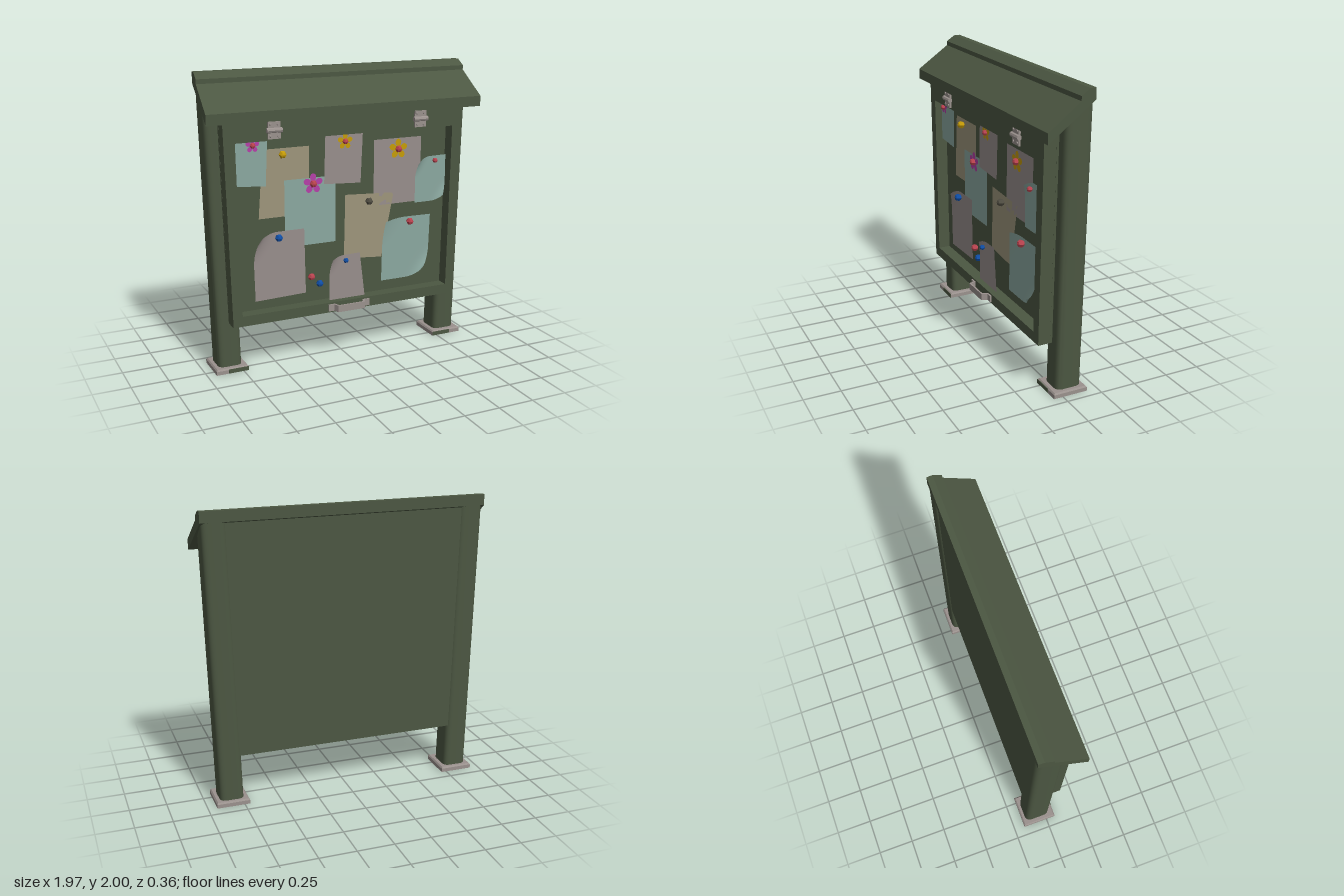
import * as THREE from 'three';
import { toCreasedNormals } from 'three/addons/utils/BufferGeometryUtils.js';

const mat = (name, color, side = THREE.FrontSide) => {
  const m = new THREE.MeshStandardMaterial({ color, side });
  m.name = name;
  return m;
};

// Height of the roof's sloping underside, and half width of the case at a height
const under = z => 1.70 + 0.71 * (0.17 - z);
const caseHalf = y => 0.835 + 0.025 * (y - 0.345);

// Move every vertex by a rule, then refresh normals
function warp(geo, rule, crease = 0) {
  const p = geo.attributes.position, v = new THREE.Vector3();
  for (let i = 0; i < p.count; i++) {
    v.fromBufferAttribute(p, i);
    rule(v);
    p.setXYZ(i, v.x, v.y, v.z);
  }
  geo.computeVertexNormals();
  return crease ? toCreasedNormals(geo, crease) : geo;
}

const polygon = pts => new THREE.Shape(pts.map(([x, y]) => new THREE.Vector2(x, y)));
const extrude = (shape, depth, curveSegments = 6) =>
  new THREE.ExtrudeGeometry(shape, { depth, bevelEnabled: false, curveSegments });

export function createModel() {
  const root = new THREE.Group();
  root.name = 'noticeBoard';
  const green = mat('darkGreen', 0x4c5742);
  const metal = mat('metal', 0x9a918d);
  const mint = mat('mintPaper', 0x8ba8a0, THREE.DoubleSide);
  const tan = mat('tanPaper', 0x9d957b, THREE.DoubleSide);
  const grey = mat('greyPaper', 0x988e8c, THREE.DoubleSide);
  const blue = mat('blue', 0x0f4ea6);
  const red = mat('red', 0xb9434f);
  const dark = mat('darkPin', 0x504d42);
  const magenta = mat('magenta', 0xb540a8, THREE.DoubleSide);
  const yellow = mat('yellow', 0xc69c08, THREE.DoubleSide);

  const add = (name, geo, material, x = 0, y = 0, z = 0, parent = root) => {
    const m = new THREE.Mesh(geo, material);
    m.name = name;
    m.position.set(x, y, z);
    parent.add(m);
    return m;
  };
  const box = (w, h, d) => new THREE.BoxGeometry(w, h, d);

  // Roof with raised ridge, slightly wider at the eave
  const profile = [[0.17, 1.70], [0.17, 1.77], [-0.05, 1.93], [-0.05, 1.96],
    [-0.11, 2.0], [-0.15, 2.0], [-0.15, 1.927]];
  const roof = extrude(polygon(profile.map(([z, y]) => [-z, y])), 2);
  roof.rotateY(Math.PI / 2);
  add('roof', warp(roof, v => { v.x = (v.x - 1) * (0.968 + 0.055 * (v.z + 0.15)); }), green);

  // Case: solid back and hollow front frame, tops cut to the roof slope
  const back = warp(box(2, 1, 0.185).translate(0, 0, -0.0475), v => {
    v.y = v.y > 0 ? under(v.z) : 0.345;
    v.x *= caseHalf(v.y);
  });
  add('backPanel', back, green);
  const frameShape = polygon([[-0.835, 0.345], [0.835, 0.345], [0.87, 1.73], [-0.87, 1.73]]);
  frameShape.holes.push(new THREE.Path(
    [[-0.77, 0.415], [-0.79, 1.57], [0.79, 1.57], [0.77, 0.415]].map(p => new THREE.Vector2(...p))));
  const frame = warp(extrude(frameShape, 0.085).translate(0, 0, 0.045), v => {
    if (v.y > 1.7) v.y = under(v.z);
  });
  add('frontFrame', frame, green);

  // Leaning rounded posts on bevelled foot plates
  const w = 0.082, z0 = -0.03, z1 = 0.15, r = 0.045;
  const section = new THREE.Shape();
  section.moveTo(-w + r, z0).lineTo(w - r, z0).quadraticCurveTo(w, z0, w, z0 + r)
    .lineTo(w, z1 - r).quadraticCurveTo(w, z1, w - r, z1)
    .lineTo(-w + r, z1).quadraticCurveTo(-w, z1, -w, z1 - r)
    .lineTo(-w, z0 + r).quadraticCurveTo(-w, z0, -w + r, z0);
  for (const s of [-1, 1]) {
    const side = s > 0 ? 'left' : 'right';
    const post = warp(extrude(section, 1).rotateX(-Math.PI / 2), v => {
      v.y = v.y > 0.5 ? under(v.z) + 0.01 : 0.02;
      v.x += s * (0.827 + 0.026 * v.y);
    }, 0.7);
    add(side + 'Post', post, green);
    add(side + 'FootBase', box(0.226, 0.026, 0.24), metal, s * 0.827, 0.013, -0.055);
    const bevel = warp(box(0.226, 0.01, 0.24).toNonIndexed(), v => {
      if (v.y > 0) { v.x *= 0.93; v.z *= 0.93; }
    });
    add(side + 'FootBevel', bevel, metal, s * 0.827, 0.031, -0.055);
    add(side + 'FootPaint', box(0.14, 0.028, 0.004), green, s * 0.785, 0.015, 0.065);
  }

  // Hinges with leaves, barrel and screws
  for (const s of [-1, 1]) {
    const hinge = new THREE.Group();
    hinge.name = s > 0 ? 'leftHinge' : 'rightHinge';
    hinge.position.set(s * 0.53, 1.638, 0.13);
    root.add(hinge);
    const barrel = new THREE.CylinderGeometry(0.017, 0.017, 0.105, 8).rotateZ(Math.PI / 2);
    add('barrel', toCreasedNormals(barrel, 0.3), metal, 0, 0, 0.013, hinge);
    for (const t of [-1, 1]) {
      add('leaf', box(0.086, 0.046, 0.014), metal, 0, t * 0.033, 0.007, hinge);
      for (const u of [-1, 1]) {
        const screw = new THREE.CylinderGeometry(0.007, 0.009, 0.006, 8).rotateX(Math.PI / 2);
        add('screw', screw, metal, u * 0.025, t * 0.038, 0.017, hinge);
      }
    }
  }

  // Bent pull handle
  const pull = extrude(polygon([[-0.155, 0], [-0.155, -0.012], [-0.115, -0.012], [-0.1, -0.052],
    [0.1, -0.052], [0.115, -0.012], [0.155, -0.012], [0.155, 0], [0.105, 0], [0.09, -0.04],
    [-0.09, -0.04], [-0.105, 0]]), 0.047).rotateX(-Math.PI / 2);
  add('handle', pull, metal, 0, 0.356, 0.129);

  // Paper sheets: corners top-left, top-right, bottom-right, bottom-left;
  // curl holds how far each corner bends inward and forward
  function paper(name, material, z, c, curl = [0, 0, 0, 0]) {
    const geo = warp(new THREE.PlaneGeometry(1, 1, 12, 12), v => {
      const u = v.x + 0.5, t = 0.5 - v.y;
      const k = [(1 - u) * (1 - t), u * (1 - t), u * t, (1 - u) * t];
      const mid = i => c.reduce((a, p) => a + p[i], 0) / 4;
      let x = 0, y = 0, bend = 0;
      k.forEach((f, i) => { x += f * c[i][0]; y += f * c[i][1]; });
      k.forEach((f, i) => { bend += curl[i] * Math.max(0, (f - 0.55) / 0.45) ** 1.5; });
      v.set(x + (mid(0) - x) * bend, y + (mid(1) - y) * bend, z + 0.12 * bend);
    });
    add(name, geo, material);
  }
  paper('tanSheetTop', tan, 0.05, [[-0.58, 1.5], [-0.255, 1.5], [-0.255, 1.04], [-0.615, 1.04]]);
  paper('tanSheetLow', tan, 0.05, [[0.01, 1.14], [0.38, 1.12], [0.29, 0.665], [0, 0.69]]);
  paper('greySheetRight', grey, 0.05, [[0.225, 1.5], [0.59, 1.5], [0.59, 1.04], [0.225, 1.04]]);
  paper('mintSheetMiddle', mint, 0.057, [[-0.435, 1.285], [-0.065, 1.285], [-0.065, 0.825], [-0.435, 0.825]]);
  paper('mintSheetCorner', mint, 0.08, [[-0.788, 1.568], [-0.557, 1.568], [-0.572, 1.265], [-0.785, 1.28]]);
  paper('greySheetTop', grey, 0.07, [[-0.145, 1.565], [0.13, 1.56], [0.115, 1.22], [-0.155, 1.235]]);
  paper('mintSheetSide', mint, 0.075, [[0.535, 1.355], [0.775, 1.36], [0.775, 1.035], [0.535, 1.035]], [0.2, 0, 0.25, 0]);
  paper('greySheetLow', grey, 0.065, [[-0.665, 0.945], [-0.3, 0.945], [-0.292, 0.49], [-0.655, 0.48]], [0.22, 0, 0, 0]);
  paper('mintSheetLow', mint, 0.06, [[0.295, 0.94], [0.67, 0.935], [0.655, 0.49], [0.285, 0.49]], [0.1, 0, 0.3, 0]);
  paper('greySheetBottom', grey, 0.085, [[-0.125, 0.725], [0.105, 0.73], [0.143, 0.415], [-0.125, 0.415]], [0.15, 0, 0, 0]);

  // Pins, some with a five-petal flower behind the head
  function pin(x, y, z, material, radius, petals, size) {
    const head = new THREE.SphereGeometry(radius, 6, 4).rotateX(Math.PI / 2).toNonIndexed();
    head.computeVertexNormals();
    add('pinHead', head, material, x, y, z + 0.02);
    if (!petals) return;
    const outline = [];
    for (let i = 0; i < 60; i++) {
      const a = i / 60 * Math.PI * 2;
      const d = size * (0.3 + 0.7 * Math.abs(Math.cos(2.5 * a)) ** 0.6);
      outline.push([d * Math.cos(a + 0.3), d * Math.sin(a + 0.3)]);
    }
    add('flowerPetals', new THREE.ShapeGeometry(polygon(outline)), petals, x, y, z + 0.014);
  }
  pin(-0.668, 1.545, 0.095, red, 0.02, magenta, 0.048);
  pin(-0.237, 1.248, 0.06, red, 0.026, magenta, 0.07);
  pin(-0.01, 1.517, 0.075, red, 0.021, yellow, 0.055);
  pin(0.403, 1.428, 0.053, red, 0.026, yellow, 0.07);
  pin(-0.45, 1.462, 0.055, yellow, 0.027);
  pin(0.18, 1.083, 0.053, dark, 0.027);
  pin(0.668, 1.333, 0.095, red, 0.019);
  pin(-0.49, 0.908, 0.068, blue, 0.027);
  pin(0.496, 0.906, 0.063, red, 0.027);
  pin(-0.25, 0.598, 0.048, red, 0.026);
  pin(-0.19, 0.542, 0.048, blue, 0.026);
  pin(-0.015, 0.697, 0.098, blue, 0.019);

  return root;
}
